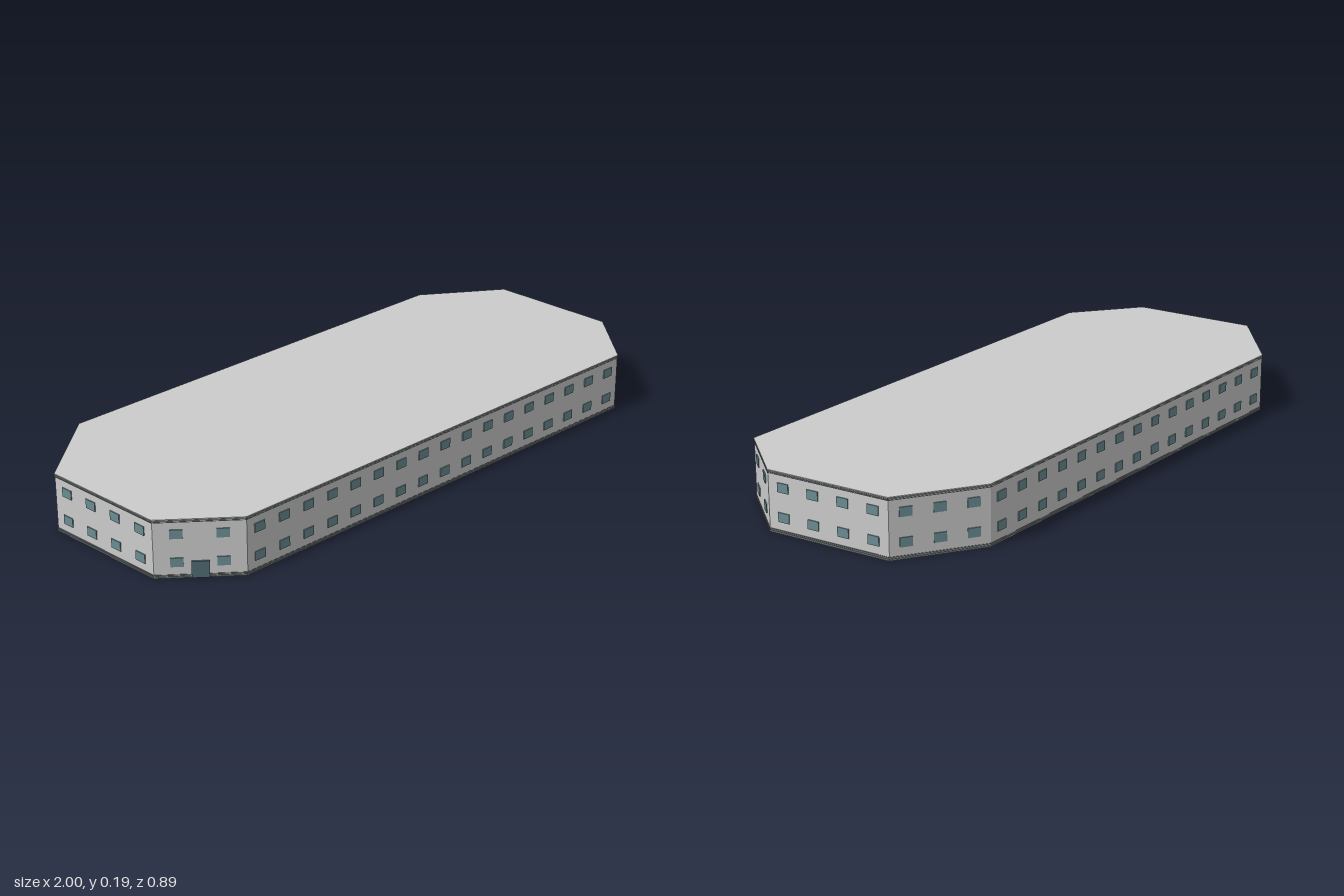
import * as THREE from 'three';

// Footprint corners (x, z), walked from the front right corner around the building
const CORNERS = [
  [0.85, 0.325], [0.995, 0.105], [0.92, -0.3], [0.66, -0.443],
  [-0.77, -0.337], [-0.997, -0.11], [-0.93, 0.292], [-0.71, 0.44],
];
const WINDOW = { width: 0.038, height: 0.029, depth: 0.006, rows: [0.051, 0.142], spacing: 0.09 };

export function createModel() {
  const model = new THREE.Group();
  model.name = 'building';
  const wallMat = new THREE.MeshStandardMaterial({ color: 0xcccccc });
  const trimMat = new THREE.MeshStandardMaterial({ color: 0x686f70 });
  const glassMat = new THREE.MeshStandardMaterial({ color: 0x6b8d92 });
  const doorMat = new THREE.MeshStandardMaterial({ color: 0x506a72 });

  const add = (name, geometry, material, parent = model) => {
    const mesh = new THREE.Mesh(geometry, material);
    mesh.name = name;
    parent.add(mesh);
    return mesh;
  };

  // Footprint prism between two heights, optionally grown outward
  const prism = (y0, y1, scale = 1) => {
    const shape = new THREE.Shape(CORNERS.map(([x, z]) => new THREE.Vector2(x * scale, -z * scale)));
    return new THREE.ExtrudeGeometry(shape, { depth: y1 - y0, bevelEnabled: false })
      .rotateX(-Math.PI / 2).translate(0, y0, 0);
  };

  // Main body and roof
  add('walls', prism(0.001, 0.184), wallMat);
  add('roof', prism(0.187, 0.19, 1.002), wallMat);
  add('floorSlab', prism(0, 0.003, 1.002), wallMat);

  // Dark bands below the roof and above the ground
  add('roofTrim', prism(0.183, 0.188, 1.003), trimMat);
  add('lowerCornice', prism(0.179, 0.181, 1.002), trimMat);
  add('baseTrim', prism(0.002, 0.006, 1.003), trimMat);
  add('upperPlinth', prism(0.008, 0.011, 1.002), trimMat);

  // Each wall carries two rows of evenly spaced windows
  const windowGeo = new THREE.BoxGeometry(WINDOW.width, WINDOW.height, WINDOW.depth);
  CORNERS.forEach(([ax, az], i) => {
    const [bx, bz] = CORNERS[(i + 1) % CORNERS.length];
    const length = Math.hypot(bx - ax, bz - az);
    const count = Math.floor(length / WINDOW.spacing);

    // Local frame: x along the wall, z pointing outward
    const facade = new THREE.Group();
    facade.name = `facade${i + 1}`;
    facade.position.set((ax + bx) / 2, 0, (az + bz) / 2);
    facade.rotation.y = Math.atan2(az - bz, bx - ax);
    model.add(facade);

    for (const y of WINDOW.rows) {
      for (let k = 0; k < count; k++) {
        const pane = add('window', windowGeo, glassMat, facade);
        pane.position.set(((k + 0.5) / count - 0.5) * length, y, 0);
      }
    }

    // Entrance on the short front left wall
    if (i === 6) {
      const door = add('door', new THREE.BoxGeometry(0.052, 0.053, 0.012), doorMat, facade);
      door.position.y = 0.0275;
    }
  });

  return model;
}
